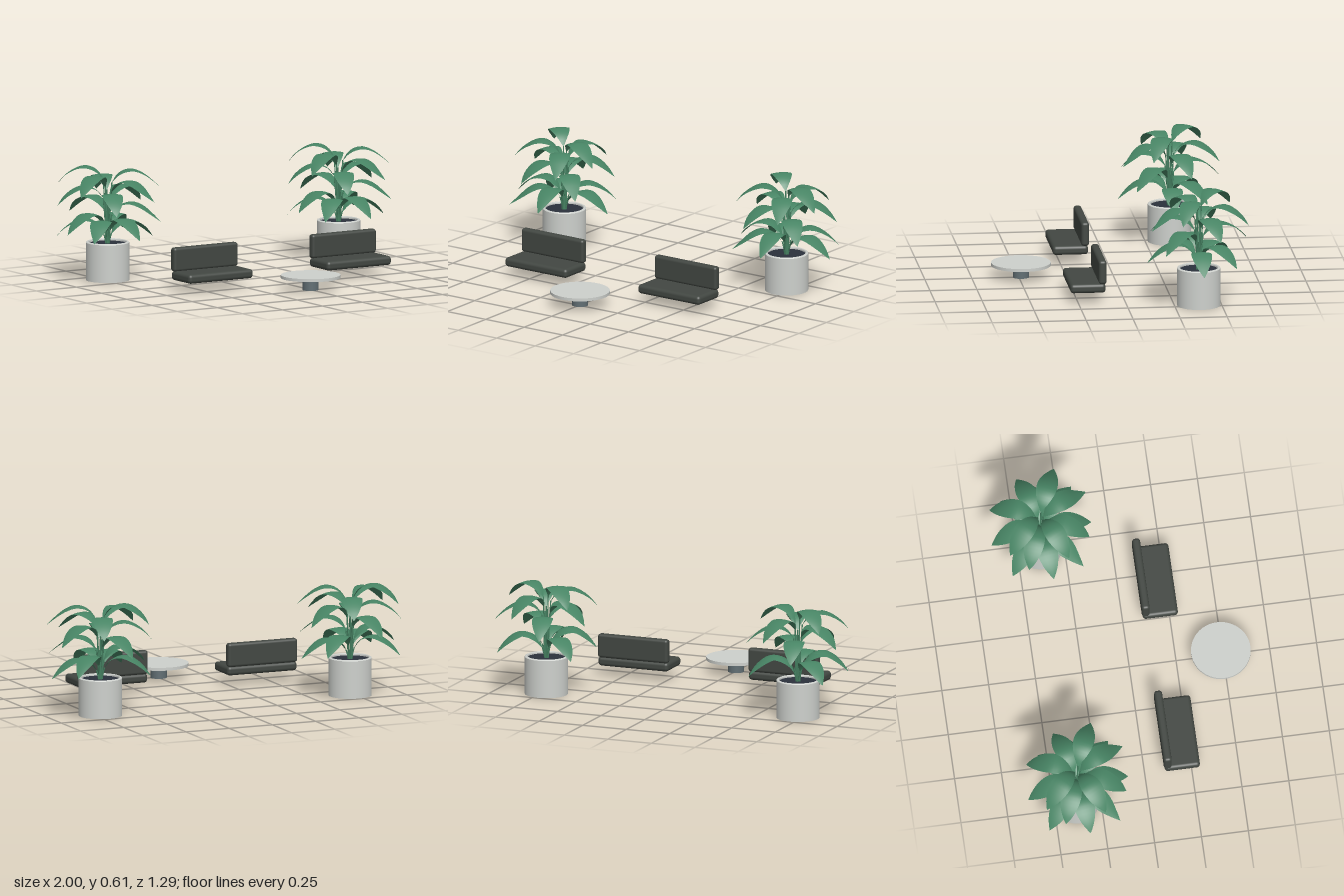
import * as THREE from 'three';
import { RoundedBoxGeometry } from 'three/addons/geometries/RoundedBoxGeometry.js';

const mat = (name, color, extra = {}) => {
  const m = new THREE.MeshStandardMaterial({ color, ...extra });
  m.name = name;
  return m;
};

const mesh = (name, geometry, material, x = 0, y = 0, z = 0) => {
  const m = new THREE.Mesh(geometry, material);
  m.name = name;
  m.position.set(x, y, z);
  return m;
};

// Arching blade along +x: radius and height relative to the tip height
function bladeGeometry(tipY, reach) {
  const path = new THREE.CatmullRomCurve3([
    [0.022, 0.03], [0.05, 0.07], [0.09, 0.096], [0.135, 0.102], [0.185, 0.083], [0.235, 0.046], [reach, 0],
  ].map(([r, y]) => new THREE.Vector3(r, tipY + y, 0)));
  const rows = 16, cols = 6, pos = [], index = [];
  for (let i = 0; i <= rows; i++) {
    const t = i / rows, p = path.getPoint(t);
    const half = 0.002 * (1 - t) + 0.054 * Math.pow(Math.max(0, Math.sin(Math.PI * Math.pow(t, 1.1))), 0.95);
    for (let j = 0; j <= cols; j++) {
      const s = (j / cols) * 2 - 1;
      // edges droop slightly away from the midrib
      pos.push(p.x, p.y - 0.12 * half * s * s, half * s);
      if (i < rows && j < cols) {
        const a = i * (cols + 1) + j, c = a + cols + 1;
        index.push(a, a + 1, c, a + 1, c + 1, c);
      }
    }
  }
  const g = new THREE.BufferGeometry();
  g.setAttribute('position', new THREE.Float32BufferAttribute(pos, 3));
  g.setIndex(index);
  g.computeVertexNormals();
  return g;
}

function stemGeometry(tipY) {
  const curve = new THREE.CatmullRomCurve3([
    new THREE.Vector3(0.01, 0.18, 0),
    new THREE.Vector3(0.013, 0.18 + (tipY - 0.15) * 0.5, 0),
    new THREE.Vector3(0.023, tipY + 0.032, 0),
  ]);
  return new THREE.TubeGeometry(curve, 8, 0.0035, 6);
}

// Leaves spiral down from the top: heading in degrees, tip height, reach
const LEAVES = [
  [223, 0.505, 0.272], [23, 0.488, 0.284], [153, 0.47, 0.272], [289.5, 0.447, 0.273],
  [64, 0.437, 0.292], [199.5, 0.405, 0.272], [341, 0.395, 0.278], [112, 0.375, 0.272],
  [255.4, 0.34, 0.277], [43, 0.318, 0.288], [172, 0.265, 0.276], [319, 0.24, 0.276],
  [84.5, 0.24, 0.28], [219, 0.225, 0.275], [0, 0.213, 0.282], [136, 0.232, 0.295],
];

export function createModel() {
  const concrete = mat('concrete', 0xcdd0cc);
  const upholstery = mat('dark upholstery', 0x424742);
  const steel = mat('steel', 0x616e73);
  const soilMat = mat('soil', 0x2b313c);
  const green = mat('leaf green', 0x478464, { side: THREE.DoubleSide });

  const model = new THREE.Group();
  model.name = 'loungeSet';

  // Pot with a rounded rim and an open top
  const potProfile = [
    [0, 0], [0.115, 0], [0.115, 0.201], [0.113, 0.204], [0.106, 0.207], [0.101, 0.205], [0.1, 0.2], [0.1, 0.18],
  ].map(([r, y]) => new THREE.Vector2(r, y));
  const potSections = [
    ['potBase', potProfile.slice(0, 2)], ['potWall', potProfile.slice(1, 3)], ['potRim', potProfile.slice(2)],
  ];

  function planter(name, x) {
    const g = new THREE.Group();
    g.name = name;
    g.position.set(x, 0, -0.379);
    potSections.forEach(([n, pts]) => g.add(mesh(n, new THREE.LatheGeometry(pts, 40), concrete)));
    g.add(mesh('soil', new THREE.CylinderGeometry(0.101, 0.101, 0.02, 40), soilMat, 0, 0.185, 0));
    LEAVES.forEach(([deg, tipY, reach]) => {
      const leaf = new THREE.Group();
      leaf.name = 'leaf';
      leaf.rotation.y = -THREE.MathUtils.degToRad(deg);
      leaf.add(mesh('blade', bladeGeometry(tipY, reach), green));
      leaf.add(mesh('stem', stemGeometry(tipY), green));
      g.add(leaf);
    });
    return g;
  }

  // Bench: padded seat and upright back
  function bench(name, x) {
    const g = new THREE.Group();
    g.name = name;
    g.position.x = x;
    g.add(mesh('seat', new RoundedBoxGeometry(0.402, 0.049, 0.188, 4, 0.018), upholstery, 0, 0.0795, 0.199));
    g.add(mesh('backrest', new RoundedBoxGeometry(0.402, 0.128, 0.042, 4, 0.015), upholstery, 0, 0.165, 0.121));
    return g;
  }

  const midX = -0.002;
  [['left', 1], ['right', -1]].forEach(([side, s]) => {
    model.add(planter(side + 'Planter', midX + s * 0.722));
    model.add(bench(side + 'Bench', midX + s * 0.432));
  });

  // Round table on a short pedestal
  const table = new THREE.Group();
  table.name = 'table';
  table.position.set(midX, 0, 0.489);
  table.add(mesh('tableTop', new THREE.CylinderGeometry(0.158, 0.158, 0.016, 48), concrete, 0, 0.073, 0));
  table.add(mesh('pedestal', new THREE.CylinderGeometry(0.043, 0.043, 0.066, 32), steel, 0, 0.033, 0));
  model.add(table);

  return model;
}
